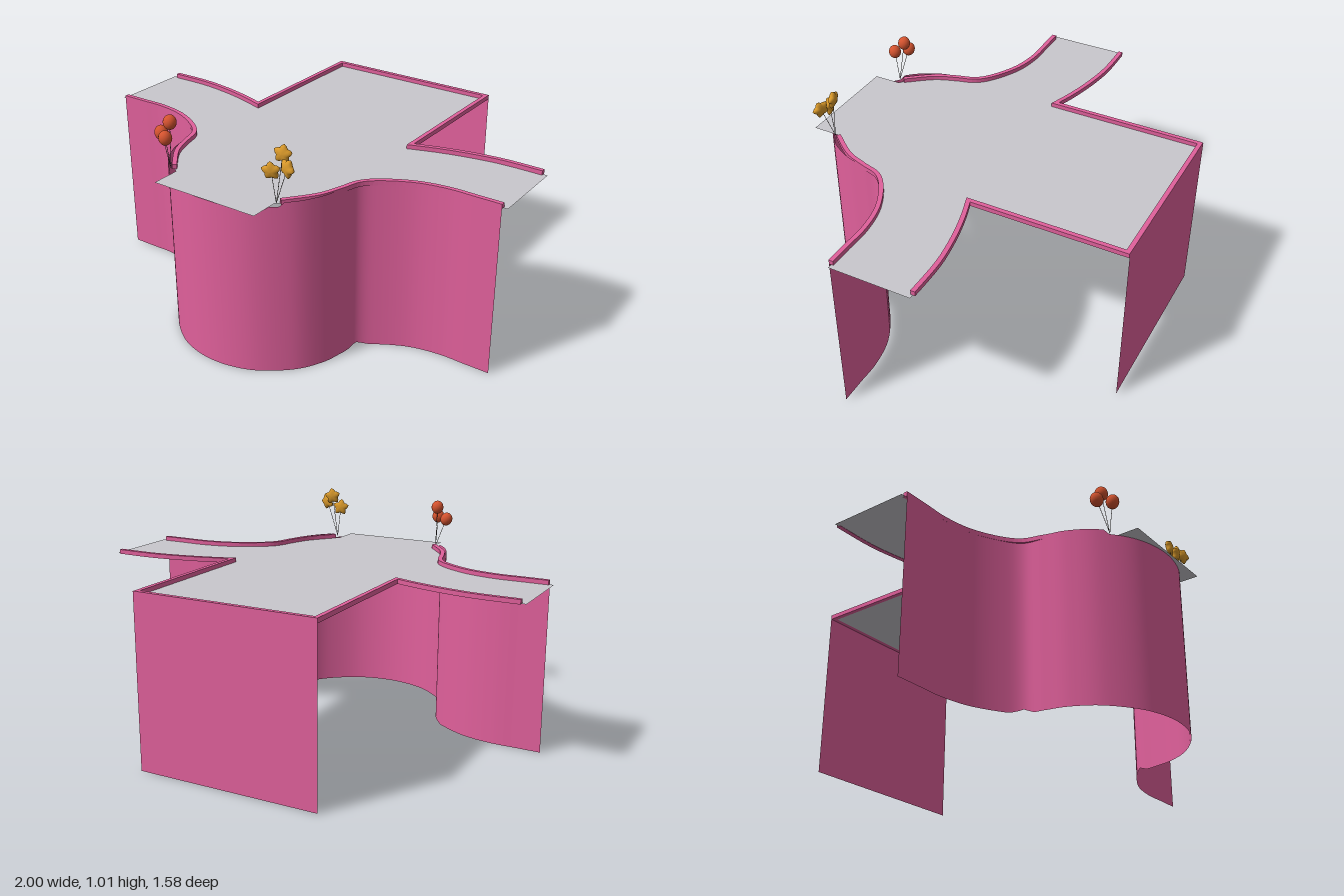
import * as THREE from 'three';

const FLOOR = 0.756, RIM = 0.775;
const mat = (name, color, side = THREE.FrontSide) => {
  const m = new THREE.MeshStandardMaterial({ color, side });
  m.name = name;
  return m;
};
const v2 = ([x, z]) => new THREE.Vector2(x, z);
const mirror = (pts) => pts.map((p) => new THREE.Vector2(-p.x, p.y)).reverse();
const smooth = (pts, n) => new THREE.SplineCurve(pts.map(v2)).getPoints(n);

// Ribbon of constant width along a path in plan, with mitred corners
function offsetPath(path, d) {
  return path.map((p, i) => {
    const a = path[Math.max(i - 1, 0)], b = path[Math.min(i + 1, path.length - 1)];
    const n1 = (i ? p.clone().sub(a) : b.clone().sub(p)).normalize();
    const n2 = (i < path.length - 1 ? b.clone().sub(p) : p.clone().sub(a)).normalize();
    const m = new THREE.Vector2(-n1.y - n2.y, n1.x + n2.x).normalize();
    const c = Math.max(0.4, m.x * -n1.y + m.y * n1.x);
    return p.clone().addScaledVector(m, d / c);
  });
}
const planShape = (pts) => new THREE.Shape(pts.map((p) => new THREE.Vector2(p.x, -p.y)));

function rim(path) {
  const pts = [...offsetPath(path, 0.01), ...offsetPath(path, -0.01).reverse()];
  const g = new THREE.ExtrudeGeometry(planShape(pts), { depth: RIM - 0.755, bevelEnabled: false });
  return g.rotateX(-Math.PI / 2).translate(0, 0.755, 0);
}

// Hanging cloth: one strip between a bottom and a top height
function curtain(path, bottom, top) {
  const pos = [], idx = [];
  path.forEach((p, i) => {
    pos.push(p.x, bottom(p), p.y, p.x, top(p), p.y);
    if (i) {
      const a = 2 * i - 2;
      idx.push(a, a + 2, a + 1, a + 1, a + 2, a + 3);
    }
  });
  const g = new THREE.BufferGeometry();
  g.setAttribute('position', new THREE.Float32BufferAttribute(pos, 3));
  g.setIndex(idx);
  g.computeVertexNormals();
  return g;
}

// Puffy five-pointed star, flat in z
function starGeometry() {
  const g = new THREE.SphereGeometry(1, 20, 10).rotateX(Math.PI / 2);
  const p = g.attributes.position;
  for (let i = 0; i < p.count; i++) {
    const x = p.getX(i), y = p.getY(i), r = Math.hypot(x, y);
    const a = Math.atan2(x, y) / (Math.PI * 2) * 5;
    const point = Math.abs(a - Math.round(a)) * 2;
    const k = 1 - 0.34 * point * r;
    p.setXYZ(i, x * k * 0.04, y * k * 0.04, p.getZ(i) * 0.016);
  }
  g.computeVertexNormals();
  return g;
}

export function createModel() {
  const group = new THREE.Group();
  const pink = mat('pink cloth', 0xe0609b, THREE.DoubleSide);
  const grey = mat('grey floor', 0xc9c8cd, THREE.DoubleSide);
  const red = mat('red balloon', 0xd4532f);
  const gold = mat('gold balloon', 0xd8982a);
  const dark = mat('dark string', 0x55504c);
  const add = (name, geometry, material, parent = group) => {
    const m = new THREE.Mesh(geometry, material);
    m.name = name;
    parent.add(m);
    return m;
  };

  // Plan curves for the +x half
  const front = smooth([[0.98, 0.19], [0.87, 0.19], [0.75, 0.19], [0.62, 0.215], [0.5, 0.275],
    [0.43, 0.34], [0.4, 0.43], [0.36, 0.53], [0.27, 0.645]], 40);
  const back = smooth([[0.41, -0.085], [0.52, -0.12], [0.65, -0.15], [0.8, -0.17], [0.98, -0.17]], 20);
  const backPath = [...mirror(back), v2([-0.41, -0.78]), v2([0.41, -0.78]), ...back];

  // Floor
  const half = [v2([1, -0.17]), v2([1, 0.19]), ...front, v2([0.25, 0.66]), v2([0.25, 0.785])];
  const outline = [...backPath, ...half, ...mirror(half)];
  add('floor', new THREE.ShapeGeometry(planShape(outline)).rotateX(-Math.PI / 2).translate(0, FLOOR, 0), grey);

  // Raised rims
  add('backRim', rim(backPath), pink);
  add('frontRimLeft', rim(front), pink);
  add('frontRimRight', rim(mirror(front)), pink);

  // Front skirt with a rounded bay, and the flat back skirt
  const skirtHalf = [[0.98, 0.2], [0.87, 0.2], [0.75, 0.2], [0.62, 0.225], [0.5, 0.285], [0.43, 0.345],
    [0.41, 0.43], [0.382, 0.53], [0.31, 0.64], [0.17, 0.74]];
  const skirt = smooth([...skirtHalf.map(([x, z]) => [-x, z]), [0, 0.775], ...skirtHalf.reverse()], 160);
  add('frontSkirt', curtain(skirt,
    (p) => Math.max(0, 0.017 * (1 - Math.abs(p.y - 0.345) / 0.04)),
    (p) => (p.y > 0.655 ? FLOOR - 0.001 : RIM - 0.002)), pink);
  add('backSkirt', curtain([v2([0.42, -0.791]), v2([-0.42, -0.791])], () => 0, () => RIM), pink);

  // Balloon bunches: each balloon on a straight string from a shared base
  const up = new THREE.Vector3(0, 1, 0);
  const bunch = (name, base, places, geometry, material, star) => {
    const b = new THREE.Group();
    b.name = name;
    group.add(b);
    const from = new THREE.Vector3(...base);
    places.forEach(([x, y, z, turn]) => {
      const to = new THREE.Vector3(x, y, z);
      const dir = to.clone().sub(from);
      const q = new THREE.Quaternion().setFromUnitVectors(up, dir.clone().normalize());
      const s = add('string', new THREE.CylinderGeometry(0.0012, 0.0012, dir.length(), 5), dark, b);
      s.position.copy(from).add(to).multiplyScalar(0.5);
      s.quaternion.copy(q);
      const m = add('balloon', geometry, material, b);
      m.position.copy(to);
      m.quaternion.copy(q);
      if (star) m.rotateY(turn);
    });
  };
  const round = new THREE.SphereGeometry(0.028, 20, 14).scale(1, 1.12, 1);
  bunch('roundBalloons', [-0.27, 0.765, 0.665],
    [[-0.285, 0.957, 0.64], [-0.272, 0.907, 0.685], [-0.33, 0.903, 0.645]], round, red, false);
  bunch('starBalloons', [0.265, 0.765, 0.665],
    [[0.283, 0.967, 0.643, 0.2], [0.33, 0.933, 0.678, -0.35], [0.258, 0.907, 0.685, 0.35]],
    starGeometry(), gold, true);

  return group;
}
